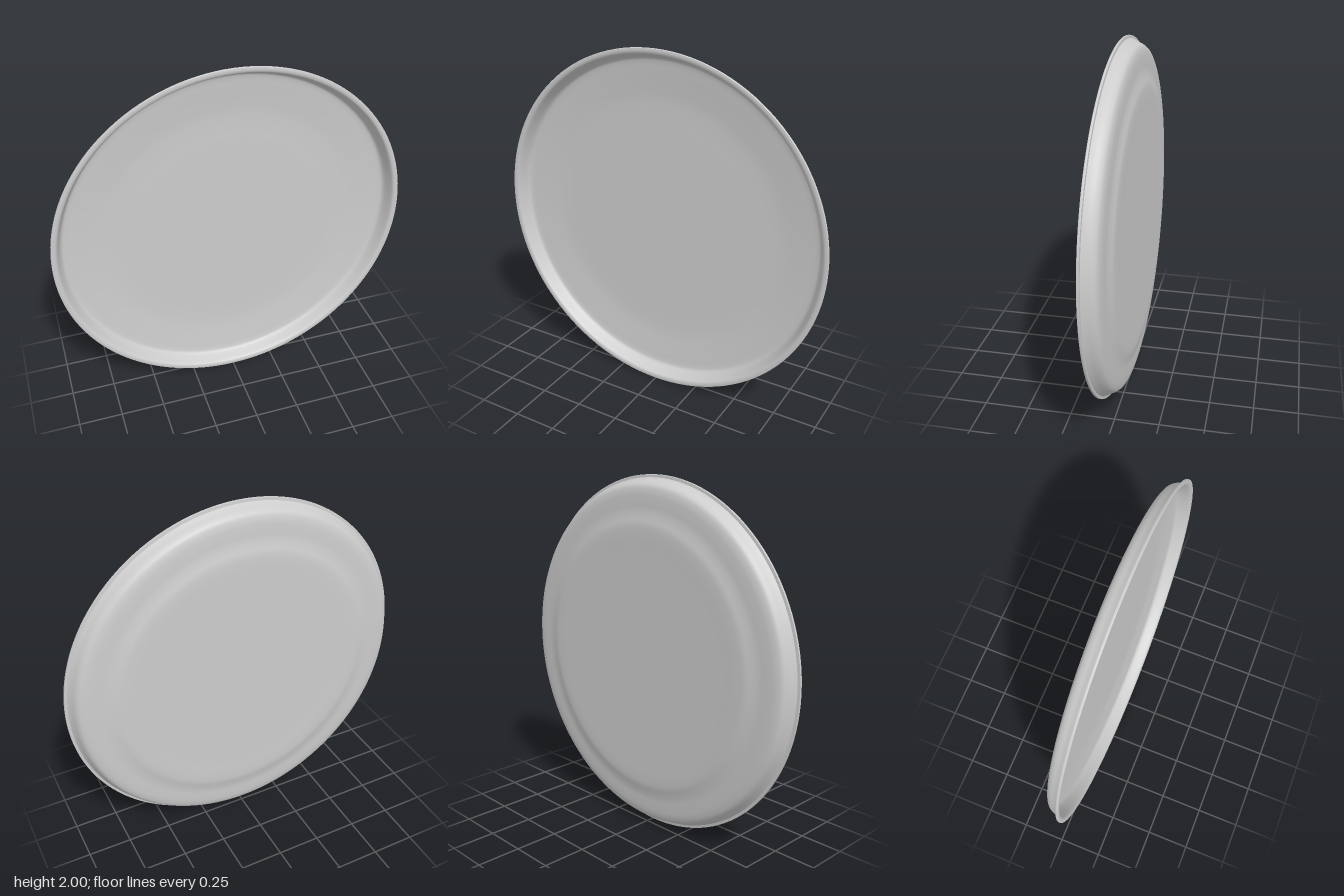
import * as THREE from 'three';

const SEGMENTS = 128;

// Smooth curve through [radius, depth] pairs
function smooth(points, divisions) {
  const curve = new THREE.CatmullRomCurve3(
    points.map(([r, z]) => new THREE.Vector3(r, z, 0)), false, 'centripetal');
  return curve.getPoints(divisions).map((p) => new THREE.Vector2(p.x, p.y));
}

// Turn a profile about the z axis, with the plate standing on its edge
function turned(name, profile, material) {
  const geometry = new THREE.LatheGeometry(profile, SEGMENTS);
  geometry.rotateX(Math.PI / 2);
  const mesh = new THREE.Mesh(geometry, material);
  mesh.name = name;
  mesh.position.y = 1;
  return mesh;
}

export function createModel() {
  const group = new THREE.Group();
  group.name = 'plate';
  const glaze = new THREE.MeshStandardMaterial({ color: 0xcccccc });
  glaze.name = 'grey glaze';

  // Underside: flat raised base, soft step, shoulder and flared wall
  const underside = [new THREE.Vector2(0, -0.06), ...smooth([
    [0.6, -0.06], [0.7, -0.06], [0.745, -0.057], [0.785, -0.048], [0.82, -0.042],
    [0.87, -0.039], [0.915, -0.034], [0.945, -0.023], [0.96, -0.005],
    [0.972, 0.022], [0.984, 0.043],
  ], 48)];
  group.add(turned('underside', underside, glaze));

  // Thin lip around the edge
  const lip = [[0.984, 0.043], [0.999, 0.045]].map((p) => new THREE.Vector2(...p));
  group.add(turned('lipBack', lip, glaze));
  const edge = [[0.999, 0.045], [1, 0.048], [1, 0.055], [0.998, 0.057]];
  group.add(turned('lipEdge', edge.map((p) => new THREE.Vector2(...p)), glaze));

  // Dish: rounded lip, steep inner wall, gently rising floor
  const dish = [...smooth([
    [0.998, 0.057], [0.985, 0.058], [0.972, 0.054], [0.965, 0.045],
    [0.952, 0.015], [0.942, -0.005], [0.932, -0.015], [0.915, -0.02],
    [0.86, -0.026], [0.78, -0.034], [0.72, -0.039], [0.65, -0.041], [0.55, -0.041],
  ], 56), new THREE.Vector2(0, -0.041)];
  group.add(turned('dish', dish, glaze));

  return group;
}
